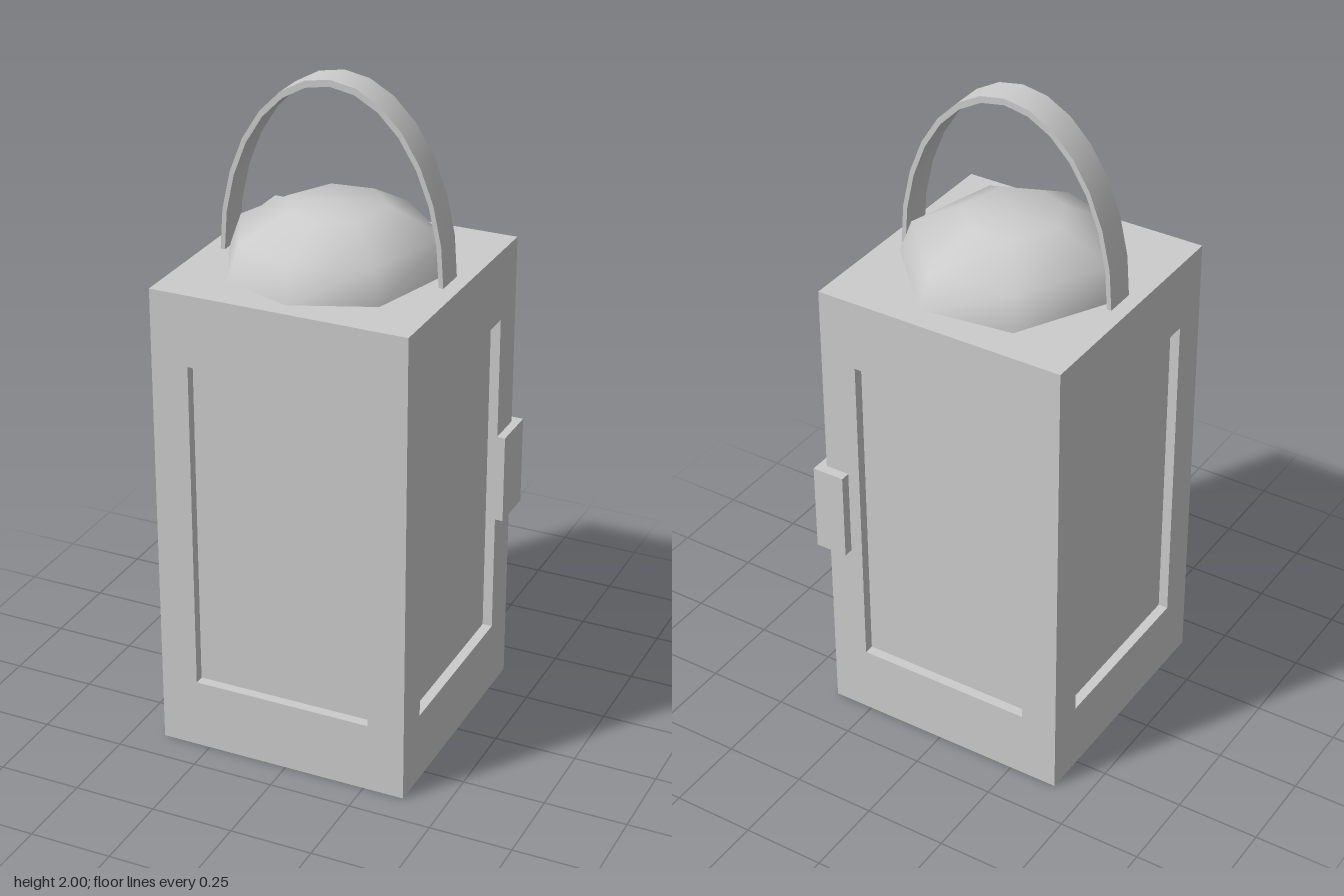
import * as THREE from 'three';
import { toCreasedNormals } from 'three/addons/utils/BufferGeometryUtils.js';

const CX = -0.013, CZ = 0.013; // body axis
const HALF = 0.388, HEIGHT = 1.45, DEPTH = 0.03, BASE = 0.01;

const rect = (Type, x0, y0, x1, y1) => new Type([
  [x0, y0], [x1, y0], [x1, y1], [x0, y1],
].map(([x, y]) => new THREE.Vector2(x, y)));

const extrude = (shape, depth) => new THREE.ExtrudeGeometry(shape, { depth, bevelEnabled: false });

// Rounded low-poly lump lofted through irregular seven-sided rings
function domeGeometry() {
  const angles = [45, 90, 131, 178, 238, 288, 345];
  const rings = [[0.335, 1.445], [0.297, 1.55], [0.15, 1.628]];
  const n = angles.length, pos = [], index = [];
  for (const [r, y] of rings) {
    for (const deg of angles) {
      const a = deg * Math.PI / 180;
      pos.push(CX + r * Math.cos(a), y, CZ + r * Math.sin(a));
    }
  }
  const top = pos.length / 3;
  pos.push(CX, 1.632, CZ);
  for (let i = 0; i < n; i++) {
    const j = (i + 1) % n;
    for (let k = 0; k < rings.length - 1; k++) {
      const a = k * n + i, b = k * n + j;
      index.push(a, a + n, b, b, a + n, b + n);
    }
    index.push(2 * n + i, top, 2 * n + j);
  }
  const g = new THREE.BufferGeometry();
  g.setAttribute('position', new THREE.Float32BufferAttribute(pos, 3));
  g.setIndex(index);
  g.computeVertexNormals();
  return g;
}

// Flat strap bent into a tall half ellipse
function handleGeometry() {
  const arc = (a, b) => Array.from({ length: 15 }, (_, i) => {
    const t = i * Math.PI / 14;
    return new THREE.Vector2(a * Math.cos(t), b * Math.sin(t));
  });
  const shape = new THREE.Shape([...arc(0.343, 0.55), ...arc(0.329, 0.53).reverse()]);
  return toCreasedNormals(extrude(shape, 0.096), 0.7);
}

export function createModel() {
  const group = new THREE.Group();
  const material = new THREE.MeshStandardMaterial({ color: 0xcccccc });
  const add = (name, geometry, x = 0, y = 0, z = 0, parent = group) => {
    const mesh = new THREE.Mesh(geometry, material);
    mesh.name = name;
    mesh.position.set(x, y, z);
    parent.add(mesh);
    return mesh;
  };

  const body = new THREE.Group();
  body.name = 'lanternBody';
  body.position.set(CX, 0, CZ);
  group.add(body);

  // Core whose faces show as the sunken window panels
  const core = 2 * (HALF - DEPTH);
  add('windowCore', new THREE.BoxGeometry(core, HEIGHT - BASE, core), 0, (HEIGHT + BASE) / 2, 0, body);

  // Four window frames; the side pair fits between front and back
  ['frontFrame', 'leftFrame', 'backFrame', 'rightFrame'].forEach((name, i) => {
    const w = i % 2 ? HALF - DEPTH : HALF;
    const shape = rect(THREE.Shape, -w, BASE, w, HEIGHT);
    shape.holes.push(rect(THREE.Path, -0.275, 0.215, 0.275, 1.235));
    const geometry = extrude(shape, DEPTH);
    geometry.translate(0, 0, HALF - DEPTH);
    add(name, geometry, 0, 0, 0, body).rotation.y = i * Math.PI / 2;
  });

  // Shallow rim under the body
  const rim = rect(THREE.Shape, -HALF, -HALF, HALF, HALF);
  rim.holes.push(rect(THREE.Path, -0.28, -0.28, 0.28, 0.28));
  add('baseRim', extrude(rim, BASE).rotateX(-Math.PI / 2), 0, 0, 0, body);

  add('domeCap', domeGeometry());
  add('carryHandle', handleGeometry(), CX, HEIGHT, -0.033);

  // Hinge plate wrapped around the rear left corner
  const hinge = new THREE.Shape([
    [0.3, 0.405], [0.3, 0.375], [0.375, 0.375], [0.375, 0.26], [0.4, 0.26], [0.4, 0.405],
  ].map(([x, y]) => new THREE.Vector2(x, y)));
  add('cornerHinge', extrude(hinge, 0.275).rotateX(-Math.PI / 2), 0, 0.585, 0);

  return group;
}
